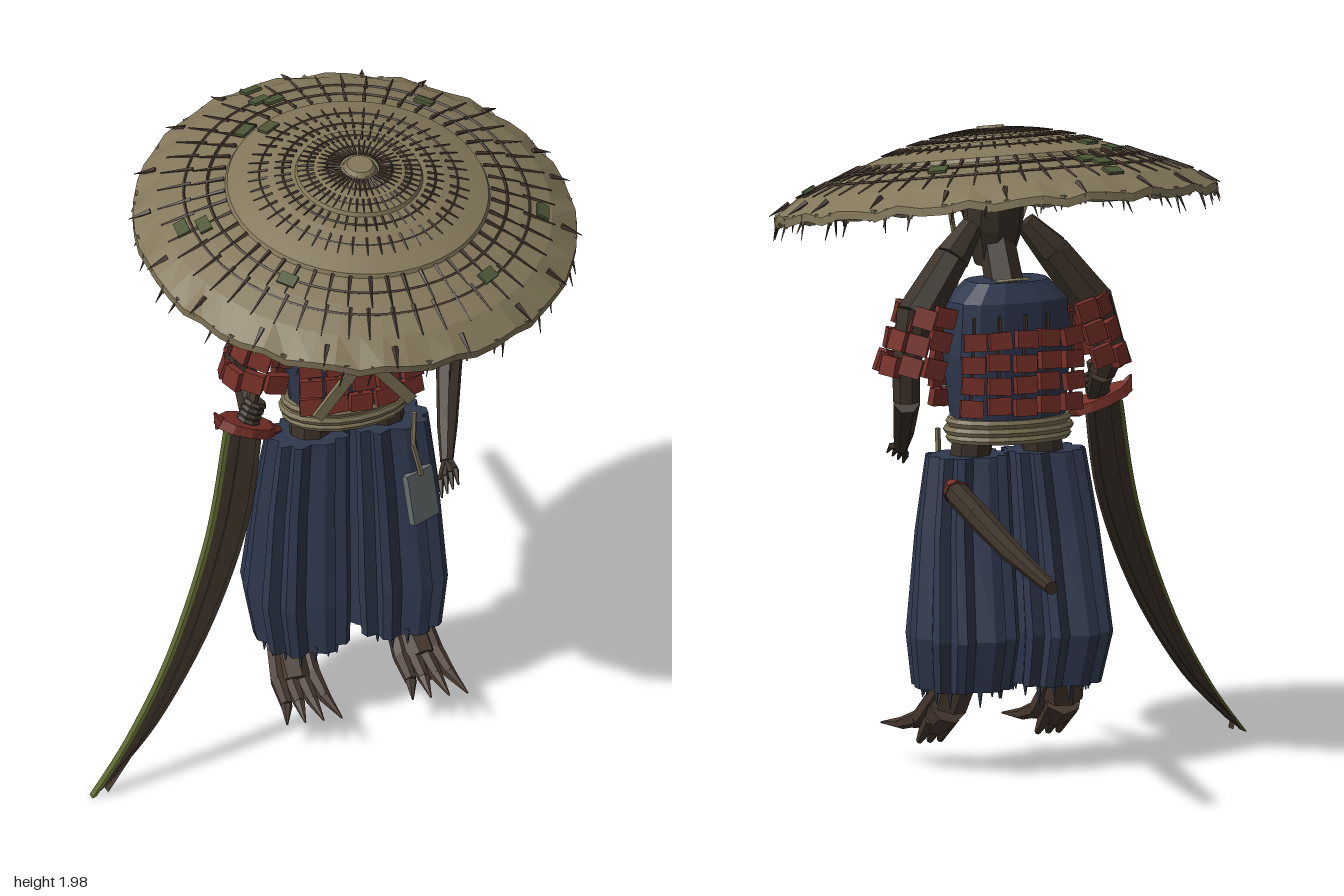
import * as THREE from 'three';
import { mergeGeometries } from 'three/addons/utils/BufferGeometryUtils.js';

const mat = (name, color) => Object.assign(new THREE.MeshStandardMaterial({ color }), { name });
const M = {
  straw: mat('straw', 0x83775a), bark: mat('bark', 0x3b3229), twig: mat('twig', 0x483930),
  navy: mat('navy cloth', 0x2f384e), red: mat('red lacquer', 0x752f28), rope: mat('rope', 0x7e7457),
  moss: mat('moss', 0x4c5636), grey: mat('grey plate', 0x66706f), edge: mat('mossy edge', 0x5c6630),
};
const CX = 0.115, CZ = 0.125;
const V = (x, y, z) => new THREE.Vector3(x, y, z);
let seed = 7;
const rnd = () => (seed = (seed * 16807) % 2147483647) / 2147483647;

export function createModel() {
  const model = new THREE.Group();
  model.name = 'strawHatSwordsman';

  // Faceted mesh from one or more geometries
  const add = (name, material, geos, parent = model) => {
    const list = [].concat(geos).map(g => {
      const f = g.index ? g.toNonIndexed() : g;
      f.deleteAttribute('uv');
      f.computeVertexNormals();
      return f;
    });
    const mesh = new THREE.Mesh(mergeGeometries(list), material);
    mesh.name = name;
    parent.add(mesh);
    return mesh;
  };
  // Tapered rod between two points
  const stick = (a, b, r0, r1 = r0, sides = 6) => {
    const d = b.clone().sub(a);
    const q = new THREE.Quaternion().setFromUnitVectors(V(0, 1, 0), d.clone().normalize());
    return new THREE.CylinderGeometry(r1, r0, d.length(), sides).applyQuaternion(q)
      .translate((a.x + b.x) / 2, (a.y + b.y) / 2, (a.z + b.z) / 2);
  };
  // Chain of rods through [x, y, z, radius]
  const limb = (pts, sides = 7) => pts.slice(1).map((p, i) =>
    stick(V(...pts[i].slice(0, 3)), V(...p.slice(0, 3)), pts[i][3], p[3], sides));
  const box = (w, h, d, x, y, z, rx = 0, ry = 0, rz = 0) =>
    new THREE.BoxGeometry(w, h, d).rotateX(rx).rotateY(ry).rotateZ(rz).translate(x, y, z);
  // Closed skin over rings [cx, y, cz, rx, rz], listed top to bottom
  const loft = (rings, n, pleat = 0) => {
    const pos = [], idx = [], pw = v => Math.sign(v) * Math.abs(v) ** 0.75;
    rings.forEach(([cx, y, cz, rx, rz]) => {
      for (let i = 0; i < n; i++) {
        const t = i / n * Math.PI * 2, k = 1 - pleat * [0, 0.1, 1][i % 3];
        pos.push(cx + pw(Math.cos(t)) * rx * k, y, cz + pw(Math.sin(t)) * rz * k);
      }
    });
    const last = rings.length - 1, top = pos.length / 3;
    for (const r of [rings[0], rings[last]]) pos.push(r[0], r[1], r[2]);
    for (let i = 0; i < n; i++) {
      const k = (i + 1) % n;
      for (let j = 0; j < last; j++) {
        const a = j * n + i, b = j * n + k;
        idx.push(a, b, a + n, b, b + n, a + n);
      }
      idx.push(top, k, i, top + 1, last * n + i, last * n + k);
    }
    const g = new THREE.BufferGeometry();
    g.setAttribute('position', new THREE.Float32BufferAttribute(pos, 3));
    g.setIndex(idx);
    return g;
  };

  // Hat: shallow terraced dome, tipped forward
  const hat = new THREE.Group();
  hat.name = 'hat';
  hat.position.set(CX, 1.72, 0.193);
  hat.rotation.x = 0.18;
  model.add(hat);
  const dome = r => 0.25 - 0.6 * r * r + 0.4 * r ** 4 - 0.25 * Math.max(0, r - 0.6);
  const onHat = (r, t, lift = 0) => V(Math.cos(t) * r, dome(r) + lift, Math.sin(t) * r);
  const outer = [], inner = [];
  for (const r of [0, 0.05, 0.12, 0.19, 0.26, 0.33, 0.36, 0.4, 0.5, 0.6, 0.68]) {
    outer.push(new THREE.Vector2(r, dome(r)));
    if (r === 0.05 || r === 0.19 || r === 0.4) outer.push(new THREE.Vector2(r + 0.006, dome(r) - 0.012));
    inner.push(new THREE.Vector2(r, dome(r) - 0.025));
  }
  const dish = new THREE.LatheGeometry([...inner, ...outer.reverse()], 56);
  const dp = dish.attributes.position;
  for (let i = 0; i < dp.count; i++) {
    const x = dp.getX(i), z = dp.getZ(i);
    if (Math.hypot(x, z) > 0.66) dp.setY(i, dp.getY(i) - 0.01 * (1 + Math.sin(Math.round(Math.atan2(z, x) / Math.PI * 28) * 2.3)));
  }
  add('hatDome', M.straw, dish, hat);
  add('hatCap', M.straw, new THREE.CylinderGeometry(0.04, 0.05, 0.012, 20).translate(0, dome(0) + 0.004, 0), hat);
  const ribs = [];
  for (const [r0, r1, n, w] of [[0.06, 0.13, 40, 0.005], [0.14, 0.19, 48, 0.005], [0.21, 0.26, 48, 0.005], [0.28, 0.34, 48, 0.005], [0.41, 0.51, 48, 0.007], [0.51, 0.61, 48, 0.007]])
    for (let i = 0; i < n; i++) {
      const t = (i + 0.2 * rnd()) / n * Math.PI * 2;
      ribs.push(stick(onHat(r0, t, 0.001), onHat(r1, t, 0.004), w, 0.002, 4));
    }
  for (let i = 0; i < 48; i++) // ribs on the underside
    for (const [a, b] of [[0.05, 0.35], [0.35, 0.67]])
      ribs.push(stick(onHat(a, i / 48 * Math.PI * 2, -0.028), onHat(b, i / 48 * Math.PI * 2, -0.028), 0.007, 0.009, 4));
  add('hatRibs', M.twig, ribs, hat);
  const ring = (r, lift, w) => new THREE.TorusGeometry(r, w, 4, 56).rotateX(Math.PI / 2).translate(0, dome(r) + lift, 0);
  add('hatRings', M.twig, [...[0.1, 0.16, 0.235, 0.305].map(r => ring(r, 0.001, 0.0035)), ...[0.46, 0.53].map(r => ring(r, 0.001, 0.005)),
    ...[0.1, 0.18, 0.25, 0.32, 0.39, 0.46, 0.53, 0.6].map(r => ring(r, -0.028, 0.008))], hat);
  const thorns = [], tufts = [];
  for (let i = 0; i < 56; i++) {
    const t = (i + rnd() * 0.6) / 56 * Math.PI * 2, e = onHat(0.668, t, -0.016);
    tufts.push(stick(e, onHat(0.675, t, -0.035 - 0.015 * rnd()), 0.013, 0.003, 4));
    if (i % 3) thorns.push(stick(e, onHat(0.68 + 0.015 * rnd(), t + 0.02, -0.05 - 0.035 * rnd()), 0.007, 0.001, 4));
    if (i % 3 === 0) thorns.push(stick(onHat(0.63, t), onHat(0.695, t, 0.004), 0.01, 0.001, 4));
  }
  add('hatFringe', M.straw, tufts, hat);
  add('hatThorns', M.twig, thorns, hat);
  add('hatMoss', M.moss, [[0.6, 4.5], [0.52, 4.46], [0.49, 4.52], [0.42, 4.1], [0.36, 4.2], [0.49, 5.5], [0.5, 3.15], [0.56, 3.2], [0.57, 0.36], [0.47, 2.4], [0.52, 1.05]]
    .map(([r, t]) => {
      const p = onHat(r, t, 0.009);
      return new THREE.BoxGeometry(0.04, 0.009, 0.058).rotateZ(-r * 0.8).rotateY(-t).translate(p.x, p.y, p.z);
    }), hat);

  // Head, neck and hat cords
  add('head', M.bark, loft([[CX, 1.91, 0.2, 0.05, 0.05], [CX, 1.78, 0.21, 0.09, 0.09], [CX, 1.66, 0.22, 0.085, 0.085], [CX, 1.55, 0.22, 0.055, 0.05]], 9));
  add('neck', M.bark, stick(V(CX, 1.48, 0.13), V(CX, 1.64, 0.2), 0.06, 0.055));
  add('hatCords', M.rope, [-1, 1].flatMap(s => limb([[CX + s * 0.15, 1.8, 0.24, 0.008], [CX + s * 0.09, 1.58, 0.28, 0.008], [CX + s * 0.11, 1.48, 0.25, 0.008]], 4)));

  // Torso, belt and collar
  add('torso', M.navy, loft([[CX, 1.52, 0.12, 0.13, 0.085], [CX, 1.46, 0.125, 0.19, 0.12], [CX, 1.3, CZ, 0.2, 0.125], [CX, 1.06, 0.115, 0.175, 0.115]], 14));
  add('collar', M.rope, new THREE.TorusGeometry(0.085, 0.008, 5, 18).rotateX(Math.PI / 2 + 0.25).translate(CX, 1.5, 0.145));
  add('belt', M.rope, [1.04, 1.065, 1.09].map((y, i) =>
    new THREE.TorusGeometry(0.185 + 0.008 * (i % 2), 0.014, 6, 20).scale(1.02, 0.68, 1).rotateX(Math.PI / 2).translate(CX, y, 0.11)));

  // Chest and back armour in rows of small plates
  const plates = [], laces = [];
  for (const side of [1, -1])
    for (let row = 0; row < 5; row++)
      for (let col = -2; col <= 2; col++) {
        if (row === 4 && (side < 0 || Math.abs(col) < 2)) continue;
        const dx = col * 0.083 + (rnd() - 0.5) * 0.014, y = 1.145 + row * 0.068 + (rnd() - 0.5) * 0.01;
        const z = CZ + side * (0.14 - 0.8 * dx * dx);
        plates.push(box(0.07, 0.054, 0.026, CX + dx, y, z, side * -0.15, side * dx * 1.6, (rnd() - 0.5) * 0.2));
        laces.push(box(0.008, 0.09, 0.008, CX + dx, y + 0.03, z - side * 0.006));
      }
  add('bodyArmour', M.red, plates);
  add('armourLaces', M.twig, laces);
  add('chestStraps', M.rope, [-1, 1].map(s => box(0.036, 0.48, 0.014, CX, 1.305, 0.279, 0, 0, s * 0.7)));

  // Flared shoulder guards wrapped around the upper arms
  for (const s of [-1, 1]) {
    const guard = [];
    for (let row = 0; row < 3; row++)
      for (let k = 0; k < 6; k++) {
        const t = (k - 2.5) * 0.62, R = 0.1 + row * 0.008;
        guard.push(box(0.028, 0.062, 0.066, CX + s * (0.238 + row * 0.022 + Math.cos(t) * R), 1.42 - row * 0.073 + (rnd() - 0.5) * 0.016,
          0.155 + Math.sin(t) * R, 0, -s * t, s * (0.2 + 0.15 * rnd())));
      }
    add(s > 0 ? 'leftShoulderGuard' : 'rightShoulderGuard', M.red, guard);
  }

  // Arms and clawed hands
  for (const s of [-1, 1])
    add(s > 0 ? 'leftShoulder' : 'rightShoulder', M.bark, limb([[CX + s * 0.09, 1.68, 0.18, 0.035], [CX + s * 0.17, 1.59, 0.155, 0.055], [CX + s * 0.3, 1.42, 0.13, 0.066]]));
  add('leftArm', M.bark, limb([[0.415, 1.44, 0.14, 0.06], [0.45, 1.28, 0.13, 0.044], [0.445, 1.16, 0.14, 0.042], [0.37, 1.03, 0.32, 0.032], [0.33, 0.965, 0.42, 0.02]]));
  add('leftHand', M.bark, [-1.5, -0.5, 0.5, 1.5].flatMap(f => limb([[0.335, 0.97, 0.41, 0.015], [0.315 + f * 0.016, 0.95 + f * 0.01, 0.47, 0.011], [0.305 + f * 0.018, 0.92 + f * 0.012, 0.515, 0.003]], 5)));
  add('rightArm', M.bark, limb([[-0.185, 1.44, 0.14, 0.06], [-0.235, 1.28, 0.12, 0.048], [-0.22, 1.2, 0.15, 0.04], [-0.23, 1.13, 0.21, 0.032]]));
  add('rightHand', M.bark, [0, 1, 2, 3].map(i => new THREE.TorusGeometry(0.028, 0.011, 5, 8).rotateX(Math.PI / 2).rotateZ(-0.35).translate(-0.24 + i * 0.007, 1.125 + i * 0.018, 0.215)));

  // Curved sword, leaning forward toward its tip
  const V2 = a => a.map(p => new THREE.Vector2(...p));
  const shift = (pts, x, y) => pts.map(p => new THREE.Vector2(p.x + x, p.y + y));
  const outerEdge = V2([[-0.315, 1.1], [-0.395, 0.77], [-0.535, 0.43], [-0.685, 0.18], [-0.82, 0.01]]);
  const innerEdge = V2([[-0.76, 0.055], [-0.59, 0.22], [-0.405, 0.49], [-0.265, 0.8], [-0.2, 1.1]]);
  const slab = (a, b, depth) => {
    const s = new THREE.Shape().moveTo(a[0].x, a[0].y).splineThru(a.slice(1)).lineTo(b[0].x, b[0].y).splineThru(b.slice(1));
    return new THREE.ExtrudeGeometry(s, { depth, bevelEnabled: false, curveSegments: 5 }).translate(0, 0, -depth / 2)
      .applyMatrix4(new THREE.Matrix4().set(1, 0, 0, 0, 0, 1, 0, 0, 0, -0.165, 1, 0.405, 0, 0, 0, 1));
  };
  add('blade', M.bark, [slab(outerEdge, innerEdge, 0.022), slab(shift(outerEdge, 0.045, 0.012), shift(innerEdge, -0.02, -0.002), 0.036)]);
  add('bladeEdge', M.edge, slab(shift(outerEdge, -0.005, -0.001), shift([...outerEdge].reverse(), 0.009, 0.004), 0.026));
  add('swordHilt', M.twig, stick(V(-0.26, 1.08, 0.22), V(-0.21, 1.23, 0.2), 0.022, 0.018));
  add('swordGuard', M.red, [
    new THREE.CylinderGeometry(0.095, 0.105, 0.03, 10).scale(1, 1, 0.6).rotateZ(-0.35).translate(-0.25, 1.11, 0.22),
    stick(V(-0.33, 1.13, 0.22), V(-0.352, 1.175, 0.22), 0.026, 0.004, 5),
    stick(V(-0.175, 1.08, 0.22), V(-0.135, 1.068, 0.22), 0.027, 0.01, 5)]);

  // Scabbard slung behind the left hip
  add('scabbard', M.bark, limb([[0.335, 0.89, 0.03, 0.038], [0.35, 0.84, -0.18, 0.04], [0.385, 0.783, -0.48, 0.034], [0.435, 0.733, -0.87, 0.021]], 8));
  add('scabbardMouth', M.red, stick(V(0.332, 0.9, 0.065), V(0.336, 0.888, 0.005), 0.026, 0.042, 8));

  // Hanging plate and cord
  add('tagCord', M.rope, limb([[0.29, 1.05, 0.245, 0.009], [0.285, 0.94, 0.25, 0.009], [0.31, 0.83, 0.255, 0.009]], 5));
  add('hangingTag', M.grey, box(0.105, 0.165, 0.024, 0.31, 0.755, 0.25, -0.16, 0.4, 0.03));

  // Legs: pleated trousers, torn hem and clawed feet
  for (const s of [-1, 1]) {
    const leg = new THREE.Group(), X = d => CX + s * d;
    leg.name = s > 0 ? 'leftLeg' : 'rightLeg';
    model.add(leg);
    add('thigh', M.bark, stick(V(X(0.11), 1.08, 0.12), V(X(0.13), 0.9, 0.13), 0.065, 0.065, 8), leg);
    add('trouserLeg', M.navy, loft([[X(0.128), 0.985, 0.13, 0.13, 0.1], [X(0.145), 0.75, 0.12, 0.145, 0.135],
      [X(0.158), 0.43, 0.103, 0.158, 0.182], [X(0.15), 0.268, 0.125, 0.142, 0.155]], 30, 0.19), leg);
    const rags = [];
    for (let i = 0; i < 16; i++) {
      const t = i / 16 * Math.PI * 2, x = X(0.15) + Math.cos(t) * 0.118, z = 0.125 + Math.sin(t) * 0.13;
      rags.push(stick(V(x, 0.29, z), V(x, 0.255 - 0.04 * rnd(), z), 0.012, 0.002, 4));
    }
    add('tornHem', M.navy, rags, leg);
    add('shin', M.twig, limb([[X(0.175), 0.34, 0.09, 0.07], [X(0.195), 0.21, 0.135, 0.062], [X(0.205), 0.15, 0.22, 0.052]]), leg);
    add('toes', M.twig, [-1.5, -0.5, 0.5, 1.5].flatMap(f => limb([[X(0.19) + f * 0.03, 0.28, 0.1, 0.024], [X(0.2) + f * 0.037, 0.165, 0.21, 0.026],
      [X(0.203) + f * 0.042, 0.135, 0.31, 0.019], [X(0.205) + f * 0.052, 0.11 + 0.008 * f, 0.39 + 0.02 * f, 0.003]], 6)), leg);
    add('heelSpurs', M.twig, [-1, 0, 1].map(f => stick(V(X(0.2) + f * 0.03, 0.17, 0.17), V(X(0.2) + f * 0.035, 0.085, 0.25), 0.032, 0.01, 6)), leg);
  }
  return model;
}
